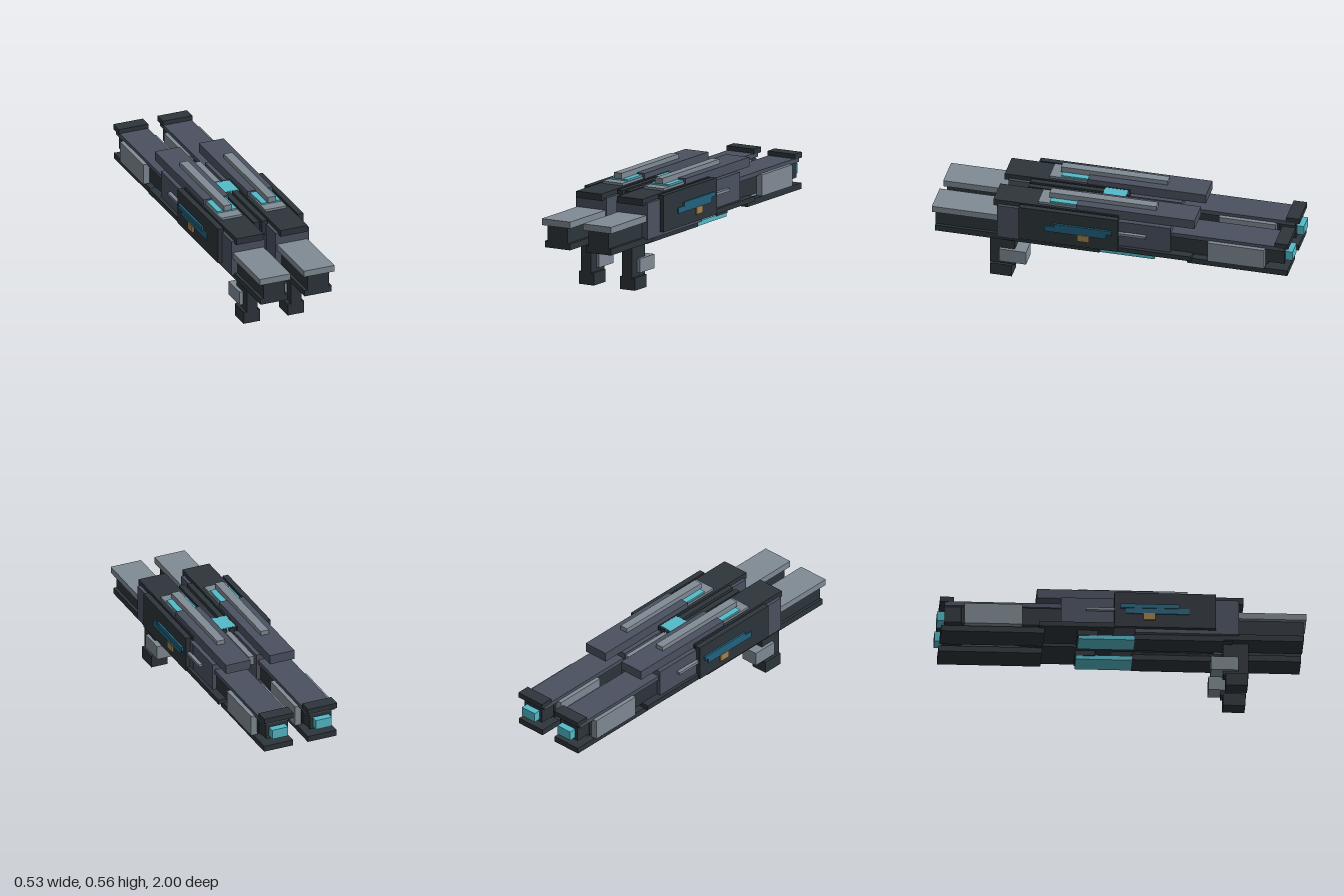
import * as THREE from 'three';

const mat = (name, color) => {
  const m = new THREE.MeshStandardMaterial({ color });
  m.name = name;
  return m;
};

const CX = 0.13; // centre line of each barrel unit

export function createModel() {
  const dark = mat('charcoal', 0x2d353b);
  const slate = mat('slate', 0x4b5160);
  const light = mat('light grey', 0x808b95);
  const teal = mat('teal', 0x54bac9);
  const blue = mat('deep blue', 0x22637e);
  const gold = mat('bronze', 0xa3834d);

  // box from its limits along each axis
  const box = (parent, name, m, x0, x1, y0, y1, z0, z1) => {
    const mesh = new THREE.Mesh(new THREE.BoxGeometry(x1 - x0, y1 - y0, z1 - z0), m);
    mesh.position.set((x0 + x1) / 2, (y0 + y1) / 2, (z0 + z1) / 2);
    mesh.name = name;
    parent.add(mesh);
  };

  // one complete unit, symmetric about its own x = 0
  const makeUnit = (name, x) => {
    const unit = new THREE.Group();
    unit.name = name;
    unit.position.x = x;
    const mid = (n, m, halfW, ...yz) => box(unit, n, m, -halfW, halfW, ...yz);
    const pair = (n, m, x0, x1, ...yz) => {
      box(unit, n + 'Left', m, x0, x1, ...yz);
      box(unit, n + 'Right', m, -x1, -x0, ...yz);
    };

    // front barrel
    mid('barrelTopPlate', light, 0.09, 0.377, 0.413, 0.6, 1);
    mid('barrelCore', dark, 0.063, 0.285, 0.377, 0.6, 0.985);
    mid('barrelBottomPlate', dark, 0.08, 0.253, 0.288, 0.55, 0.985);

    // main body
    mid('body', slate, 0.098, 0.278, 0.48, 0.07, 0.635);
    mid('bodyMiddle', slate, 0.096, 0.3, 0.478, -0.08, 0.07);
    mid('bodyRear', slate, 0.094, 0.325, 0.478, -0.33, -0.08);
    mid('underSlab', dark, 0.073, 0.247, 0.29, 0.07, 0.6);
    mid('underGlow', teal, 0.066, 0.247, 0.272, -0.235, 0.13);
    mid('underBlock', dark, 0.07, 0.267, 0.3, -0.24, -0.13);
    mid('lowerRail', dark, 0.114, 0.297, 0.325, -0.45, -0.04);

    // side armour and its trim
    pair('sidePlate', dark, 0.09, 0.122, 0.3, 0.503, -0.043, 0.508);
    pair('sideUpperTrim', blue, 0.12, 0.133, 0.408, 0.432, -0.01, 0.31);
    pair('sideLowerTrim', blue, 0.12, 0.129, 0.377, 0.41, 0.02, 0.365);
    pair('sideBadge', gold, 0.12, 0.132, 0.34, 0.38, 0.115, 0.18);
    pair('sideBar', light, 0.09, 0.114, 0.4, 0.415, -0.195, -0.04);

    // top deck
    mid('topPlate', dark, 0.08, 0.468, 0.505, -0.04, 0.66);
    mid('upperHousing', slate, 0.073, 0.482, 0.535, -0.46, 0.2);
    mid('sightBase', light, 0.063, 0.505, 0.518, 0.15, 0.415);
    mid('sightGlow', teal, 0.057, 0.518, 0.527, 0.19, 0.35);
    mid('topRail', light, 0.024, 0.528, 0.56, -0.235, 0.36);

    // rear section
    mid('rearTop', slate, 0.083, 0.42, 0.445, -0.96, -0.3);
    mid('rearCore', dark, 0.07, 0.32, 0.42, -0.87, -0.3);
    mid('rearSpacer', light, 0.045, 0.298, 0.322, -0.86, -0.42);
    mid('rearBottomPlate', dark, 0.086, 0.267, 0.3, -0.98, -0.42);
    pair('rearPanel', light, 0.068, 0.106, 0.308, 0.426, -0.855, -0.54);
    mid('rearEnd', dark, 0.065, 0.33, 0.42, -0.96, -0.87);
    mid('rearCap', dark, 0.087, 0.44, 0.47, -0.985, -0.91);
    mid('rearGlow', teal, 0.047, 0.345, 0.4, -1, -0.96);

    // grip
    mid('grip', dark, 0.032, 0.065, 0.26, 0.552, 0.69);
    mid('gripFoot', dark, 0.048, 0, 0.07, 0.565, 0.685);
    mid('gripBlock', light, 0.05, 0.09, 0.168, 0.485, 0.635);
    return unit;
  };

  const model = new THREE.Group();
  model.name = 'twinBarrelDevice';
  model.add(makeUnit('leftUnit', CX), makeUnit('rightUnit', -CX));

  // parts joining the two units
  box(model, 'centreBlock', dark, -0.032, 0.032, 0.28, 0.425, -0.04, 0.51);
  box(model, 'centreGlow', teal, -0.052, 0.052, 0.482, 0.504, -0.03, 0.098);
  box(model, 'centreBar', light, -0.016, 0.016, 0.435, 0.485, -0.345, 0.02);
  return model;
}
